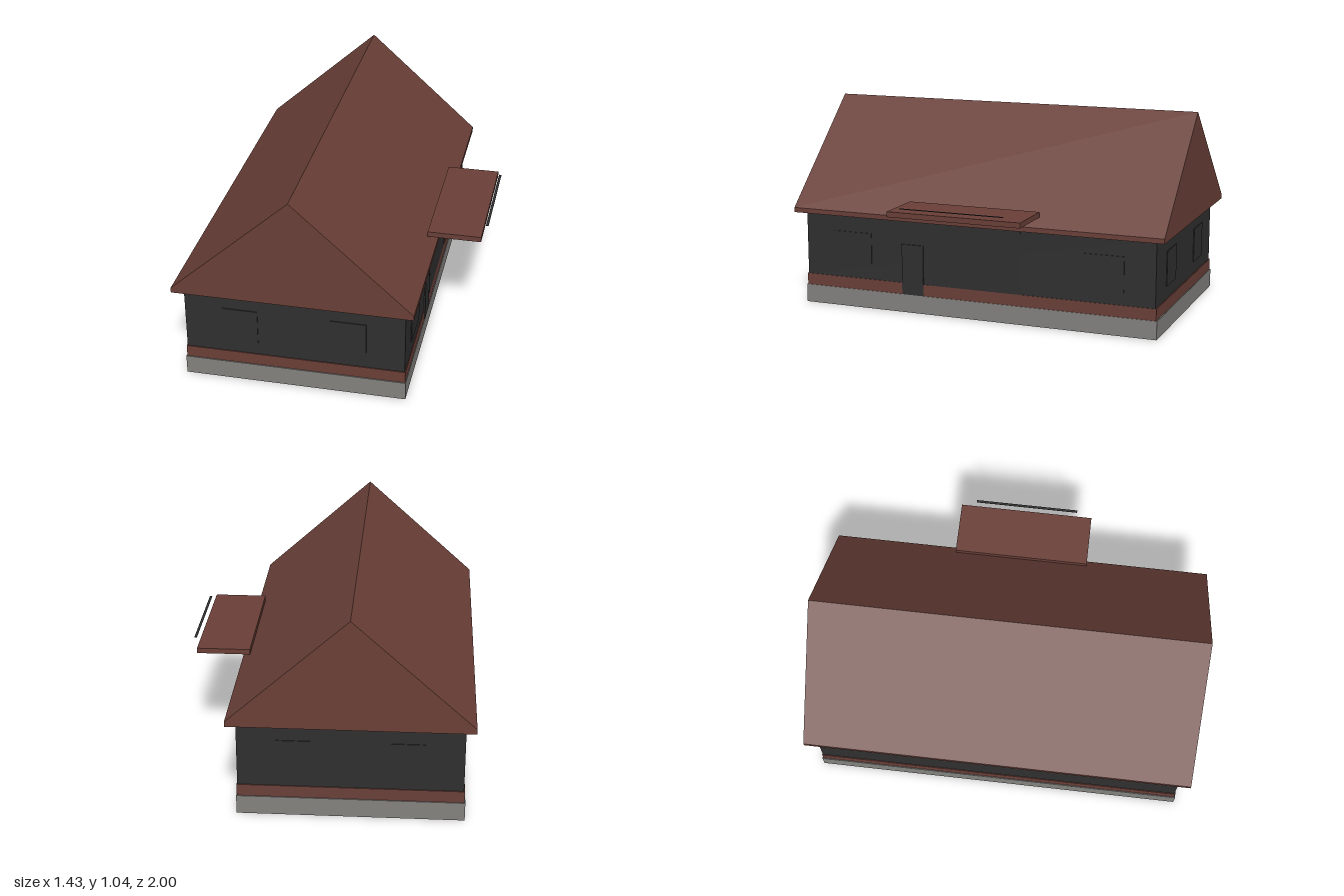
import * as THREE from 'three';

export function createModel() {
  const house = new THREE.Group();
  house.name = 'house';

  const paint = (name, color) => {
    const m = new THREE.MeshStandardMaterial({ color });
    m.name = name;
    return m;
  };
  const brown = paint('roof brown', 0x693f37);
  const dark = paint('charcoal', 0x2f2f2f);
  const grey = paint('concrete grey', 0x82817e);

  const add = (name, geometry, material) => {
    const mesh = new THREE.Mesh(geometry, material);
    mesh.name = name;
    house.add(mesh);
    return mesh;
  };
  // Box given by its lower and upper limits on each axis
  const box = (name, material, [x0, x1], [y0, y1], [z0, z1]) => {
    const g = new THREE.BoxGeometry(x1 - x0, y1 - y0, z1 - z0);
    g.translate((x0 + x1) / 2, (y0 + y1) / 2, (z0 + z1) / 2);
    return add(name, g, material);
  };

  // Stacked body of the building
  box('foundation', grey, [-0.675, 0.425], [0, 0.095], [-0.96, 0.96]);
  box('plinthBand', brown, [-0.671, 0.422], [0.095, 0.155], [-0.955, 0.955]);
  box('walls', dark, [-0.667, 0.419], [0.155, 0.492], [-0.95, 0.95]);

  // Gable roof with a thin vertical eave edge
  const gable = new THREE.Shape([
    [-0.715, 0.49], [0.465, 0.49], [0.465, 0.515], [-0.125, 1.045], [-0.715, 0.515],
  ].map(([x, y]) => new THREE.Vector2(x, y)));
  const roof = new THREE.ExtrudeGeometry(gable, { depth: 2, bevelEnabled: false });
  roof.translate(0, 0, -1);
  add('roof', roof, brown);

  // Windows on both gable ends and on the entrance side
  const windowHeight = [0.22, 0.4];
  for (const side of [-1, 1]) {
    const depth = side > 0 ? [0.949, 0.954] : [-0.954, -0.949];
    box('gableWindow', dark, [-0.48, -0.305], windowHeight, depth);
    box('gableWindow', dark, [0.055, 0.23], windowHeight, depth);
    const along = side > 0 ? [0.575, 0.79] : [-0.79, -0.575];
    box('sideWindow', dark, [0.418, 0.423], windowHeight, along);
  }

  // Entrance side: door and wide shop panel
  box('door', dark, [0.418, 0.426], [0.095, 0.36], [0.28, 0.4]);
  box('entrancePanel', dark, [0.418, 0.422], [0.155, 0.49], [-0.25, 0.25]);

  // Canopy and the thin strip in front of it
  box('canopy', brown, [0.42, 0.69], [0.56, 0.587], [-0.352, 0.352]);
  box('canopyStrip', dark, [0.702, 0.715], [0.61, 0.612], [-0.272, 0.272]);

  return house;
}
